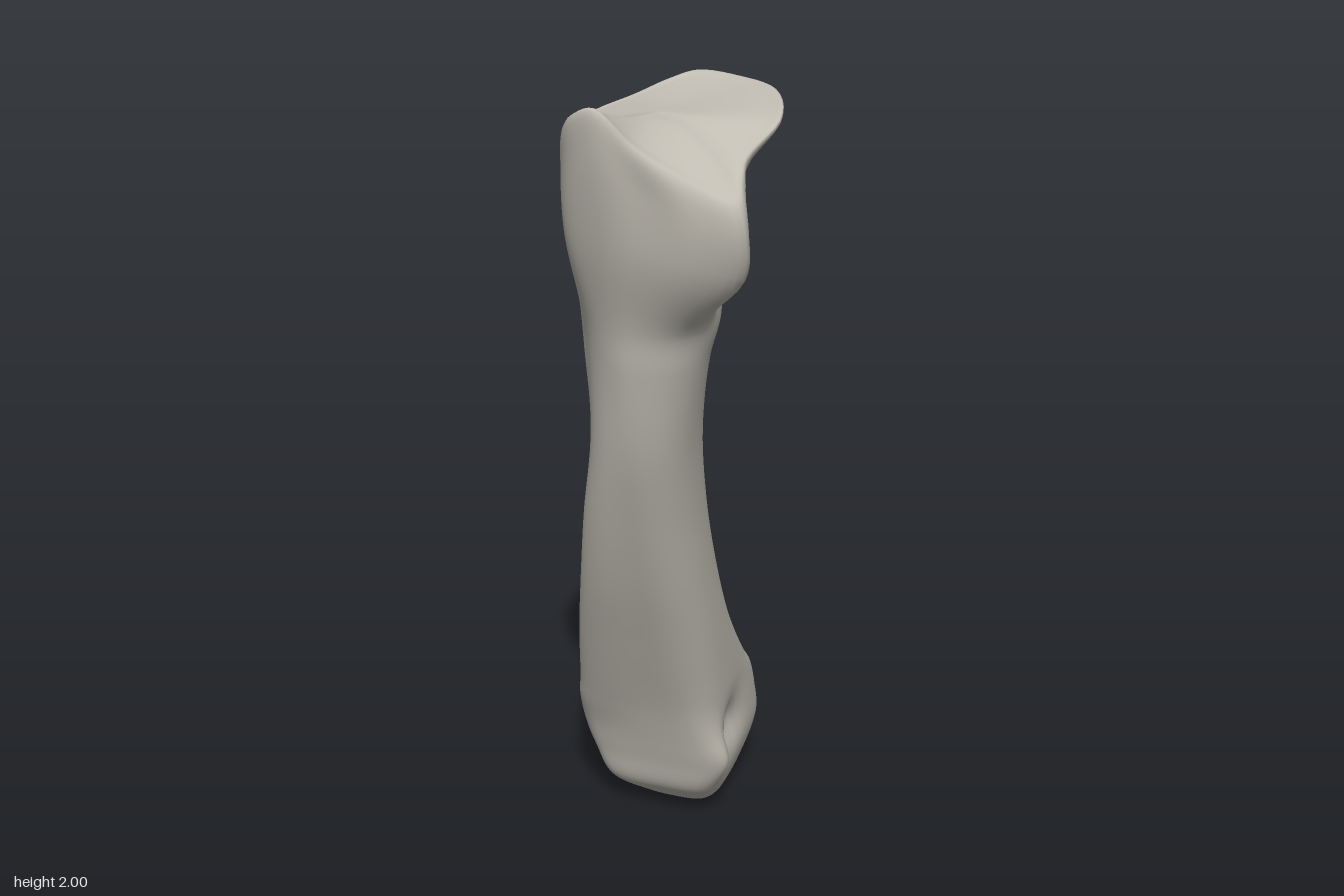
import * as THREE from 'three';

const N = 16; // control points around each cross-section, from +x towards +z

// Rim of the upper joint, [x, z, y]
const RIM = [
  [0.262, 0.288, 1.88], [0.268, 0.33, 1.85], [0.28, 0.39, 1.81], [0.17, 0.415, 1.86],
  [0.075, 0.43, 1.92], [0.0, 0.452, 1.997], [-0.055, 0.435, 1.975], [-0.093, 0.38, 1.93],
  [-0.107, 0.30, 1.92], [-0.092, 0.21, 1.93], [-0.04, 0.13, 1.947], [0.012, 0.057, 1.968],
  [0.06, 0.013, 1.98], [0.155, 0.025, 1.978], [0.255, 0.085, 1.972], [0.303, 0.205, 1.94],
];
// Neck just under the rim, with the side knob at the front
const NECK = [
  [0.235, 0.26, 1.82], [0.27, 0.32, 1.77], [0.293, 0.385, 1.74], [0.19, 0.42, 1.78],
  [0.08, 0.422, 1.83], [0.0, 0.45, 1.91], [-0.075, 0.415, 1.87], [-0.112, 0.355, 1.85],
  [-0.117, 0.29, 1.85], [-0.10, 0.21, 1.85], [-0.045, 0.132, 1.85], [0.01, 0.06, 1.86],
  [0.06, 0.022, 1.86], [0.13, 0.035, 1.86], [0.20, 0.085, 1.86], [0.24, 0.18, 1.86],
];
// Lower half of the knob
const KNOB = [
  [0.185, 0.235, 1.67], [0.26, 0.29, 1.65], [0.272, 0.355, 1.64], [0.18, 0.40, 1.66],
  [0.06, 0.402, 1.68], [-0.02, 0.40, 1.7], [-0.092, 0.373, 1.7], [-0.122, 0.315, 1.7],
  [-0.123, 0.245, 1.7], [-0.105, 0.178, 1.7], [-0.053, 0.117, 1.7], [0.0, 0.07, 1.7],
  [0.055, 0.047, 1.7], [0.11, 0.056, 1.7], [0.155, 0.095, 1.7], [0.178, 0.165, 1.69],
];
// Shaft and lower joint: y, x min, x max, z min, z max, squareness,
// then how far the right front and right back corners are pushed out
const SHAFT = [
  [1.5, -0.125, 0.173, 0.073, 0.348, 2.3, -0.01, -0.035],
  [1.4, -0.125, 0.146, 0.065, 0.332, 2.2, -0.015, -0.035],
  [1.2, -0.125, 0.11, 0.013, 0.29, 2.3, 0, -0.038],
  [1.0, -0.155, 0.095, -0.06, 0.225, 2.3, 0.02, -0.04],
  [0.8, -0.19, 0.092, -0.14, 0.15, 2.4, 0.03, -0.042],
  [0.6, -0.235, 0.092, -0.24, 0.065, 2.7, 0.028, -0.045],
  [0.42, -0.272, 0.09, -0.372, -0.012, 3.4, 0.02, -0.035],
  [0.36, -0.29, 0.088, -0.423, -0.036, 4, 0.01, -0.02],
  [0.28, -0.304, 0.087, -0.447, -0.064, 5, -0.01, 0],
  [0.19, -0.29, 0.083, -0.466, -0.092, 5.5, -0.01, 0],
  [0.1, -0.255, 0.06, -0.435, -0.12, 4.5, 0, 0],
  [0.04, -0.212, 0.035, -0.38, -0.18, 3.5, 0, 0],
  [0.01, -0.13, 0.005, -0.325, -0.22, 3, 0, 0],
  [0.0, -0.06, -0.06, -0.275, -0.275, 2, 0, 0],
];
// Hollows and bumps on the sides of the lower joint: x, y, z, push along x
const DENTS = [
  [0.085, 0.25, -0.2, -0.042],
  [0.085, 0.2, -0.12, 0.03],
  [-0.3, 0.16, -0.2, 0.03],
];

const toRing = (rows) => rows.map(([x, z, y]) => new THREE.Vector3(x, y, z));

function ovalRing([y, x0, x1, z0, z1, p, front, back]) {
  const bend = (v) => Math.sign(v) * Math.pow(Math.abs(v), 2 / p);
  const ring = Array.from({ length: N }, (_, k) => {
    const t = (k / N) * Math.PI * 2;
    return new THREE.Vector3(
      (x0 + x1) / 2 + bend(Math.cos(t)) * (x1 - x0) / 2, y,
      (z0 + z1) / 2 + bend(Math.sin(t)) * (z1 - z0) / 2);
  });
  // Corners at points 6 and 10, with their neighbours following
  for (const [corner, push, side] of [[6, front, 1], [10, back, -1]]) {
    for (const k of [-1, 0, 1]) {
      const d = push * Math.SQRT1_2 * (k ? 0.75 : 1);
      ring[corner + k].x -= d;
      ring[corner + k].z += d * side;
    }
  }
  // Slide the extremes beside a cut back corner to keep the outline round
  ring[8].z -= back * 0.45;
  ring[12].x -= back * 0.45;
  return ring;
}

function sculpt(p) {
  for (const [x, y, z, push] of DENTS) {
    const d2 = ((p.x - x) ** 2) / 0.01 + ((p.y - y) ** 2) / 0.006 + ((p.z - z) ** 2) / 0.003;
    p.x += push * Math.exp(-d2);
  }
  return p;
}

function boneGeometry() {
  const rim = toRing(RIM);
  const centre = new THREE.Vector3(0.05, 1.945, 0.24);
  // Smooth saddle-shaped joint face, from its centre out to the rim
  const face = [0, 0.3, 0.6, 0.88].map((s) => rim.map((p) => {
    const q = centre.clone().lerp(p, s);
    q.y = centre.y + (p.y - centre.y) * s * s;
    return q;
  }));
  const rings = [...face, rim, toRing(NECK), toRing(KNOB), ...SHAFT.map(ovalRing)];

  const around = 80, rows = (rings.length - 1) * 6;
  const columns = Array.from({ length: N }, (_, k) =>
    new THREE.CatmullRomCurve3(rings.map((r) => r[k])));
  const positions = [], index = [];
  for (let i = 0; i <= rows; i++) {
    const loop = new THREE.CatmullRomCurve3(columns.map((c) => c.getPoint(i / rows)), true);
    for (let j = 0; j < around; j++) {
      const p = sculpt(loop.getPoint(j / around));
      positions.push(p.x, p.y, p.z);
      if (i === rows) continue;
      const a = i * around + j, c = i * around + (j + 1) % around;
      index.push(a, c, a + around, c, c + around, a + around);
    }
  }
  const geometry = new THREE.BufferGeometry();
  geometry.setAttribute('position', new THREE.Float32BufferAttribute(positions, 3));
  geometry.setIndex(index);
  geometry.computeVertexNormals();
  return geometry;
}

export function createModel() {
  const boneGrey = new THREE.MeshStandardMaterial({ color: 0xc0bcb2 });
  boneGrey.name = 'boneGrey';
  const bone = new THREE.Mesh(boneGeometry(), boneGrey);
  bone.name = 'bone';
  const group = new THREE.Group();
  group.name = 'longBone';
  group.add(bone);
  return group;
}
